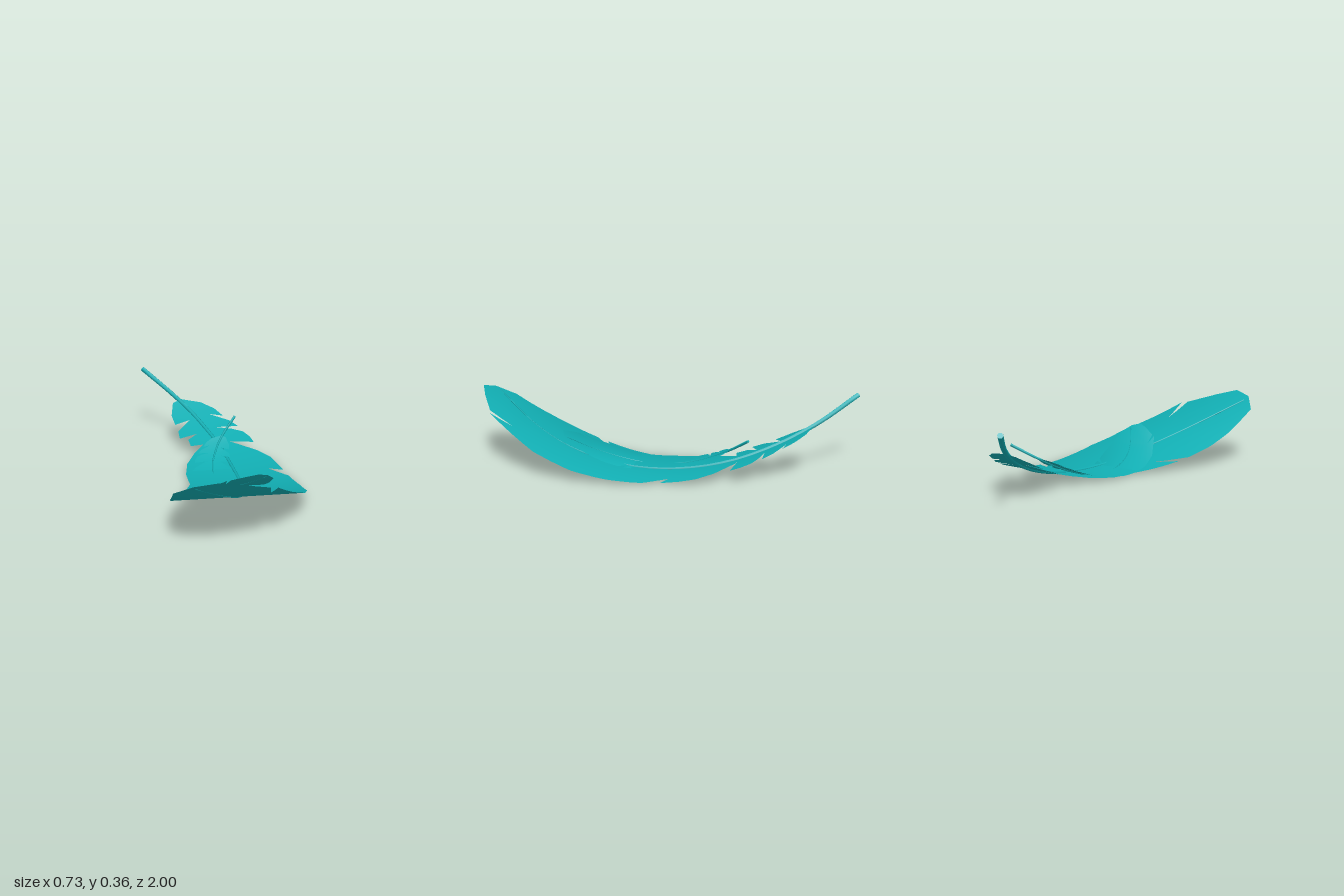
import * as THREE from 'three';

// Vane outline on the ground plane (x, z): right edge, tip, then left edge back to the quill
const OUTLINE = [
  [-0.11, -0.78], [0, -0.75], [0.07, -0.7], [0.11, -0.64], [0.03, -0.66],
  [0.14, -0.6], [0.18, -0.55], [0.05, -0.55], [0.14, -0.53],
  [0.2, -0.5], [0.23, -0.45], [0.24, -0.4], [0.085, -0.42],
  [0.12, -0.41], [0.24, -0.32], [0.3, -0.24], [0.32, -0.16], [0.335, -0.07], [0.26, -0.1],
  [0.345, 0.02], [0.36, 0.2], [0.355, 0.37], [0.29, 0.58], [0.1, 0.865], [0.095, 0.74],
  [0.065, 0.875], [-0.08, 0.95], [-0.19, 0.995], [-0.29, 0.96], [-0.365, 0.87],
  [-0.355, 0.66], [-0.335, 0.53], [-0.295, 0.39], [-0.155, 0.275], [-0.275, 0.33],
  [-0.22, 0.185], [-0.18, 0.07], [-0.18, -0.08], [-0.155, -0.21], [-0.1, -0.32], [-0.04, -0.4],
  [-0.11, -0.39], [-0.115, -0.45], [-0.06, -0.5], [-0.16, -0.465], [-0.16, -0.53],
  [-0.08, -0.62], [-0.17, -0.585], [-0.18, -0.66], [-0.16, -0.755],
];

// Central shaft (x, z) from the quill end to the tip
const SHAFT = [
  [-0.305, -0.995], [-0.155, -0.82], [-0.06, -0.67], [0, -0.53], [0.045, -0.39], [0.07, -0.21],
  [0.08, 0], [0.067, 0.2], [0.015, 0.45], [-0.09, 0.67], [-0.28, 0.93],
];

const bend = z => 0.01 + 0.345 * z * z;

function shaftX(z) {
  let i = 0;
  while (i < SHAFT.length - 2 && z > SHAFT[i + 1][1]) i++;
  const [a, b] = [SHAFT[i], SHAFT[i + 1]];
  return a[0] + (b[0] - a[0]) * THREE.MathUtils.clamp((z - a[1]) / (b[1] - a[1]), 0, 1);
}

// Part of a convex polygon on one side of a line of constant z
function clip(poly, z, sign) {
  const out = [];
  poly.forEach((p, i) => {
    const q = poly[(i + 1) % poly.length];
    const dp = (p[1] - z) * sign, dq = (q[1] - z) * sign;
    if (dp >= 0) out.push(p);
    if (dp * dq < 0) {
      const t = dp / (dp - dq);
      out.push([p[0] + (q[0] - p[0]) * t, z]);
    }
  });
  return out;
}

// Thin vane: the flat outline is cut into bands along z and bent upwards
function vaneGeometry(place, scale) {
  const pos = [], nor = [];
  const pts = OUTLINE.map(p => new THREE.Vector2(...p));
  const step = 0.08;
  const add = p => {
    pos.push(...place(p[0], bend(p[1]), p[1]).toArray());
    const n = new THREE.Vector3(0.9 * (p[0] - shaftX(p[1])), 1, -0.69 * p[1]);
    nor.push(...n.divide(scale).normalize().toArray());
  };
  for (const face of THREE.ShapeUtils.triangulateShape(pts, [])) {
    const tri = face.map(i => OUTLINE[i]);
    for (let z = -1.04; z < 1.04; z += step) {
      const band = clip(clip(tri, z, 1), z + step, -1);
      for (let i = 1; i < band.length - 1; i++) {
        const [a, b, c] = [band[0], band[i], band[i + 1]];
        // keep every triangle facing up, also when mirrored
        const area = (b[0] - a[0]) * (c[1] - a[1]) - (b[1] - a[1]) * (c[0] - a[0]);
        (area * scale.x < 0 ? [a, b, c] : [a, c, b]).forEach(add);
      }
    }
  }
  const geo = new THREE.BufferGeometry();
  geo.setAttribute('position', new THREE.Float32BufferAttribute(pos, 3));
  geo.setAttribute('normal', new THREE.Float32BufferAttribute(nor, 3));
  return geo;
}

// Six-sided tube that thins out towards the tip
function shaftGeometry(path, r0, r1) {
  const n = 30, sides = 6;
  const geo = new THREE.TubeGeometry(path, n, 1, sides);
  const p = geo.attributes.position, v = new THREE.Vector3();
  for (let i = 0; i <= n; i++) {
    const centre = path.getPointAt(i / n);
    const r = THREE.MathUtils.lerp(r0, r1, Math.min(1, i / n * 1.2));
    for (let j = 0; j <= sides; j++) {
      const k = i * (sides + 1) + j;
      v.fromBufferAttribute(p, k).sub(centre).multiplyScalar(r).add(centre);
      p.setXYZ(k, v.x, v.y, v.z);
    }
  }
  geo.computeVertexNormals();
  return geo;
}

function feather(name, scale, lift, material, vaneMaterial) {
  const group = new THREE.Group();
  group.name = name;
  const place = (x, y, z) => new THREE.Vector3(x, y, z).multiply(scale).add(new THREE.Vector3(0, lift, 0));
  const size = scale.z;

  const vane = new THREE.Mesh(vaneGeometry(place, scale), vaneMaterial);
  vane.name = 'vane';

  const path = new THREE.CatmullRomCurve3(SHAFT.map(([x, z]) => place(x, bend(z), z)));
  const shaft = new THREE.Mesh(shaftGeometry(path, 0.014 * size, 0.004 * size), material);
  shaft.name = 'shaft';

  // Closed end of the quill
  const end = new THREE.Mesh(new THREE.CircleGeometry(0.014 * size, 6), material);
  end.name = 'quillEnd';
  end.position.copy(path.getPointAt(0));
  end.lookAt(end.position.clone().sub(path.getTangentAt(0)));

  group.add(vane, shaft, end);
  return group;
}

export function createModel() {
  const material = new THREE.MeshStandardMaterial({ color: 0x11adb2 });
  const vaneMaterial = new THREE.MeshStandardMaterial({ color: 0x11adb2, side: THREE.DoubleSide });
  const model = new THREE.Group();
  model.name = 'feathers';
  model.add(
    feather('largeFeather', new THREE.Vector3(1, 1, 1), 0, material, vaneMaterial),
    // The small one is a mirrored copy lying on the large one
    feather('smallFeather', new THREE.Vector3(-0.485, 0.555, 0.48), -0.002, material, vaneMaterial),
  );
  return model;
}
